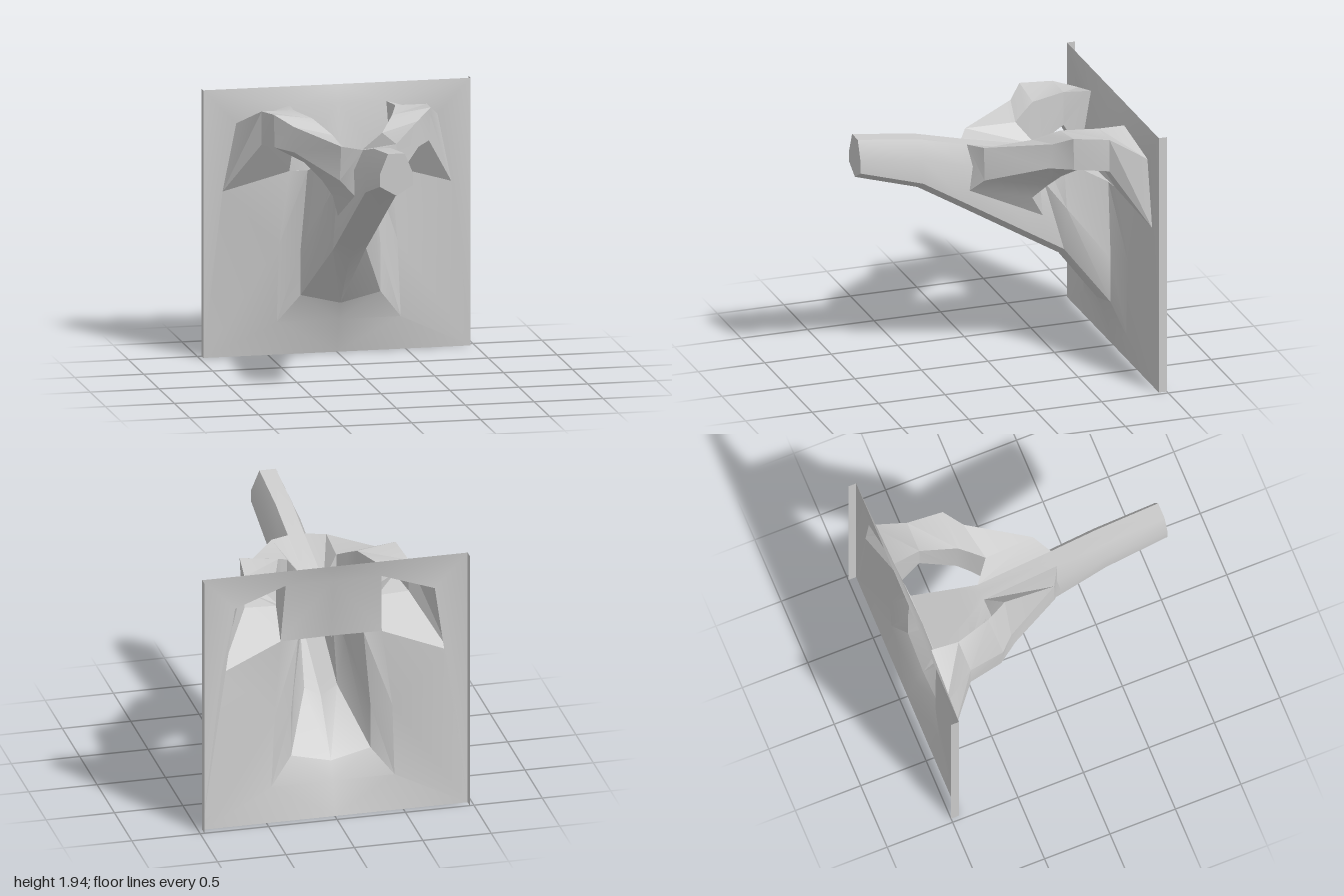
import * as THREE from 'three';
import { toCreasedNormals } from 'three/addons/utils/BufferGeometryUtils.js';

const material = new THREE.MeshStandardMaterial({ color: 0xcccccc, side: THREE.DoubleSide });

// Faces are lists of corner points for the left (+x) half; the other half is mirrored.
function mirroredMesh(name, faces, crease) {
  const pos = [];
  for (const f of faces) {
    for (let i = 1; i < f.length - 1; i++) {
      const tri = [f[0], f[i], f[i + 1]];
      for (const p of tri) pos.push(p[0], p[1], p[2]);
      for (const p of tri.reverse()) pos.push(-p[0], p[1], p[2]);
    }
  }
  const geo = new THREE.BufferGeometry();
  geo.setAttribute('position', new THREE.Float32BufferAttribute(pos, 3));
  const mesh = new THREE.Mesh(toCreasedNormals(geo, crease), material);
  mesh.name = name;
  return mesh;
}

// Quads between successive cross-sections.
function loft(rings, closed) {
  const faces = [];
  for (let r = 0; r < rings.length - 1; r++) {
    const a = rings[r], b = rings[r + 1], n = a.length;
    for (let i = 0; i < (closed ? n : n - 1); i++) {
      const j = (i + 1) % n;
      faces.push([a[i], a[j], b[j], b[i]]);
    }
  }
  return faces;
}

// Half section of the trunk: roof, shoulder, lower side, keel.
const trunkRing = (z, topX, topY, sideX, shoulderY, lowX, lowY) => [
  [0, topY, z], [topX, topY, z], [sideX, shoulderY, z], [lowX, lowY, z], [0, lowY - 0.07, z],
];

export function createModel() {
  const group = new THREE.Group();
  group.name = 'wallBracket';

  // Hollow trunk rising forward from the plate
  const trunkRings = [
    trunkRing(1, 0.06, 1.845, 0.12, 1.7, 0.12, 1.61),
    trunkRing(0.53, 0.06, 1.785, 0.12, 1.65, 0.12, 1.47),
    trunkRing(0.18, 0.06, 1.7, 0.12, 1.56, 0.12, 1.26),
    trunkRing(-0.38, 0.06, 1.58, 0.12, 1.36, 0.12, 0.92),
    trunkRing(-0.53, 0.12, 1.5, 0.18, 1.16, 0.12, 0.83),
    trunkRing(-0.82, 0.24, 1.35, 0.29, 0.78, 0.29, 0.45),
  ];
  const tip = trunkRings[0].slice().reverse();
  group.add(mirroredMesh('trunk', [tip, ...loft(trunkRings, false)], 0.5));

  // Corners of the arm opening in the plate
  const armOutTop = [0.73, 1.69, -0.94], armOutLow = [0.83, 1.2, -0.94];
  const armInLow = [0.37, 1.35, -0.83], armInTop = [0.35, 1.81, -0.9];

  // Hollow side arms: outer top, outer bottom, inner bottom, inner top
  const armRings = [
    [[0.06, 1.7, 0.18], [0.12, 1.37, 0.18], [0.12, 1.11, -0.37], [0.06, 1.58, -0.38]],
    [[0.2, 1.715, 0.1], [0.21, 1.47, 0.1], [0.18, 1.28, -0.27], [0.18, 1.72, -0.27]],
    [[0.45, 1.78, -0.33], [0.45, 1.6, -0.3], [0.24, 1.38, -0.36], [0.24, 1.77, -0.36]],
    [[0.57, 1.85, -0.44], [0.56, 1.61, -0.45], [0.29, 1.46, -0.45], [0.29, 1.81, -0.44]],
    [[0.6, 1.82, -0.7], [0.6, 1.58, -0.7], [0.37, 1.57, -0.7], [0.37, 1.82, -0.7]],
    [armOutTop, armOutLow, armInLow, armInTop],
  ];
  group.add(mirroredMesh('sideArms', loft(armRings, true), 0.4));

  // Flared collar between trunk and plate
  const collarTop = [0, 1.81, -0.9], collarSide = [0.43, 0.8, -0.9];
  const collarLow = [0.45, 0.25, -0.88], collarMid = [0, 0.25, -0.88];
  const collarRing = [collarTop, armInLow, collarSide, collarLow, collarMid];
  const flare = loft([trunkRings[5], collarRing], false);

  // Slightly bulging plate with openings for trunk and arms
  const topMid = [0, 1.94, -0.94], topEnd = [0.97, 1.94, -0.94];
  const lowEnd = [0.97, 0, -0.94], lowMid = [0, 0, -0.94];
  const plate = [
    [collarTop, armInLow, armInTop],
    [topMid, collarTop, armInTop, topEnd],
    [armInTop, armOutTop, topEnd],
    [armOutTop, armOutLow, lowEnd, topEnd],
    [armOutLow, armInLow, collarSide],
    [armOutLow, collarSide, lowEnd],
    [collarSide, collarLow, lowEnd],
    [collarLow, collarMid, lowMid],
    [collarLow, lowMid, lowEnd],
  ];
  group.add(mirroredMesh('backPlate', [...flare, ...plate], 0.45));

  // Thin folded edges at both sides of the plate
  const fold = [topEnd, lowEnd, [0.97, 0, -1], [0.97, 1.94, -1]];
  group.add(mirroredMesh('plateSideEdges', [fold], 0.3));

  return group;
}
